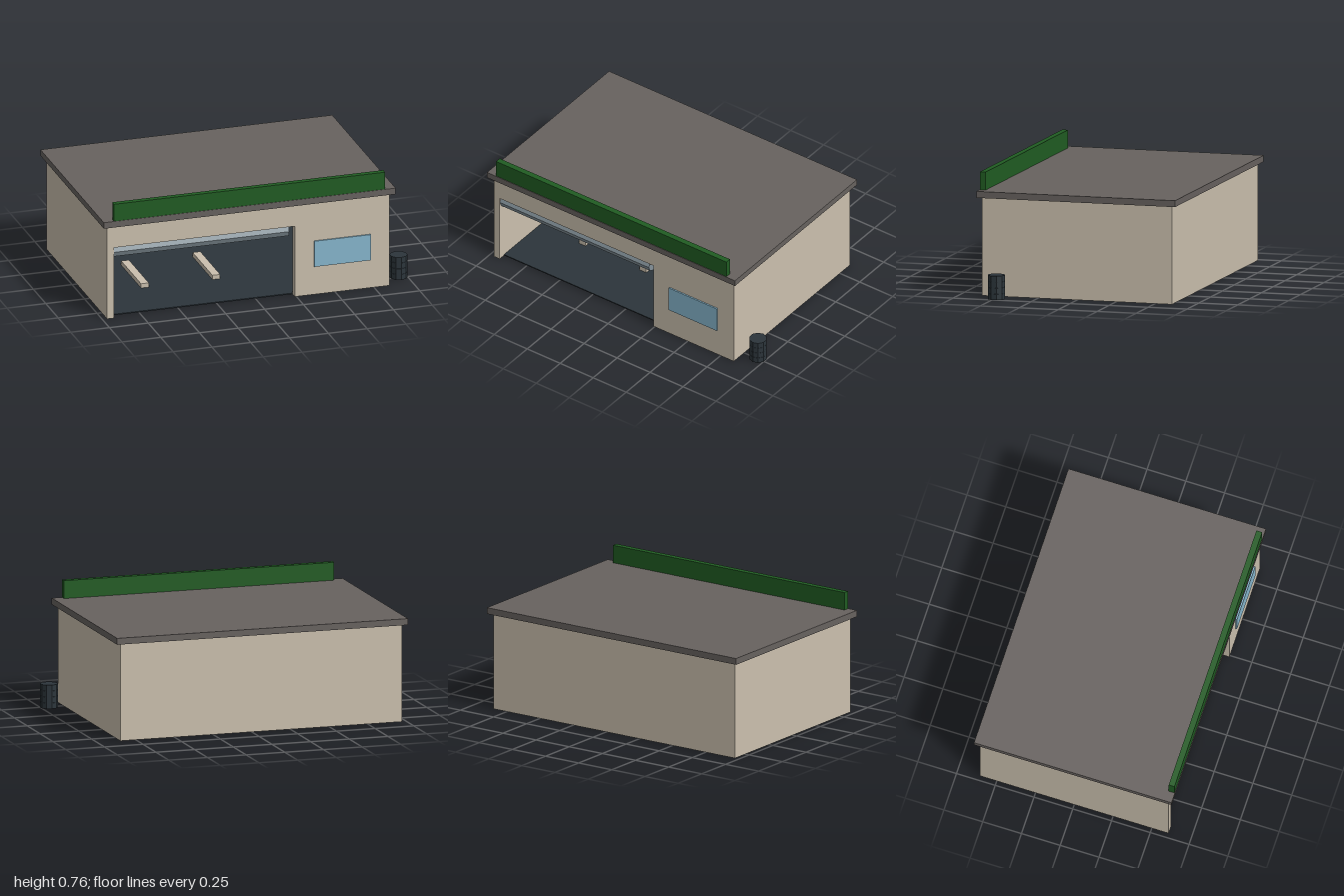
import * as THREE from 'three';

const material = (name, color) => {
  const m = new THREE.MeshStandardMaterial({ color, flatShading: true });
  m.name = name;
  return m;
};

export function createModel() {
  const group = new THREE.Group();
  group.name = 'garage';

  const wall = material('beige wall', 0xcbc0ae);
  const roof = material('grey roof', 0x67625f);
  const green = material('green sign', 0x205c22);
  const dark = material('dark rubber and floor', 0x2c353b);
  const glass = material('blue glass', 0x86b6cd);
  const red = material('red paint', 0xbf3436);
  const steel = material('shutter steel', 0x84929a);

  const add = (name, geometry, mat) => {
    const mesh = new THREE.Mesh(geometry, mat);
    mesh.name = name;
    group.add(mesh);
    return mesh;
  };
  // Box given by its extents on each axis
  const box = (name, mat, [x0, x1], [y0, y1], [z0, z1]) =>
    add(name, new THREE.BoxGeometry(x1 - x0, y1 - y0, z1 - z0), mat)
      .position.set((x0 + x1) / 2, (y0 + y1) / 2, (z0 + z1) / 2);

  const T = 0.045; // wall thickness
  const L = -0.97, R = 0.85, D = 0.608, H = 0.61;

  // Front wall with the bay opening cut out from the ground up
  const outline = [[L, 0], [-0.925, 0], [-0.925, 0.465], [0.24, 0.465], [0.24, 0], [R, 0], [R, H], [L, H]];
  const front = new THREE.Shape(outline.map(([x, y]) => new THREE.Vector2(x, y)));
  add('frontWall', new THREE.ExtrudeGeometry(front, { depth: T, bevelEnabled: false }), wall)
    .position.z = D - T;

  // Back and side walls
  box('backWall', wall, [L, R], [0, H], [-D, -D + T]);
  box('rightWall', wall, [L, L + T], [0, H], [-D + T, D - T]);
  box('leftWall', wall, [R - T, R], [0, H], [-D + T, D - T]);

  // Floor, roof slab and sign board
  box('floor', dark, [L + T, R - T], [0, 0.007], [-D + T, D - T]);
  box('roof', roof, [-1, 0.88], [H, 0.65], [-0.637, 0.637]);
  box('signBoard', green, [-0.933, 0.813], [0.65, 0.762], [0.597, 0.634]);

  // Office window
  box('window', glass, [0.363, 0.728], [0.185, 0.354], [D, 0.617]);

  // Rolled-up shutter
  const shutter = add('rolledShutter', new THREE.CylinderGeometry(0.046, 0.046, 1.13, 8), steel);
  shutter.rotation.z = Math.PI / 2;
  shutter.position.set(-0.36, 0.433, 0.56);

  // Lift rails on the bay floor
  for (const x of [-0.595, -0.135])
    box('liftRail', wall, [x - 0.025, x + 0.025], [0.007, 0.035], [-0.2, 0.2]);

  // Tool cabinet at the back of the bay
  box('toolCabinet', red, [-0.908, -0.713], [0.001, 0.135], [-0.545, -0.41]);

  // Stack of tyres beside the building
  for (let i = 0; i < 4; i++)
    add('tyre', new THREE.CylinderGeometry(0.055, 0.055, 0.036, 10), dark)
      .position.set(0.947, 0.018 + i * 0.0375, 0.488);

  return group;
}
